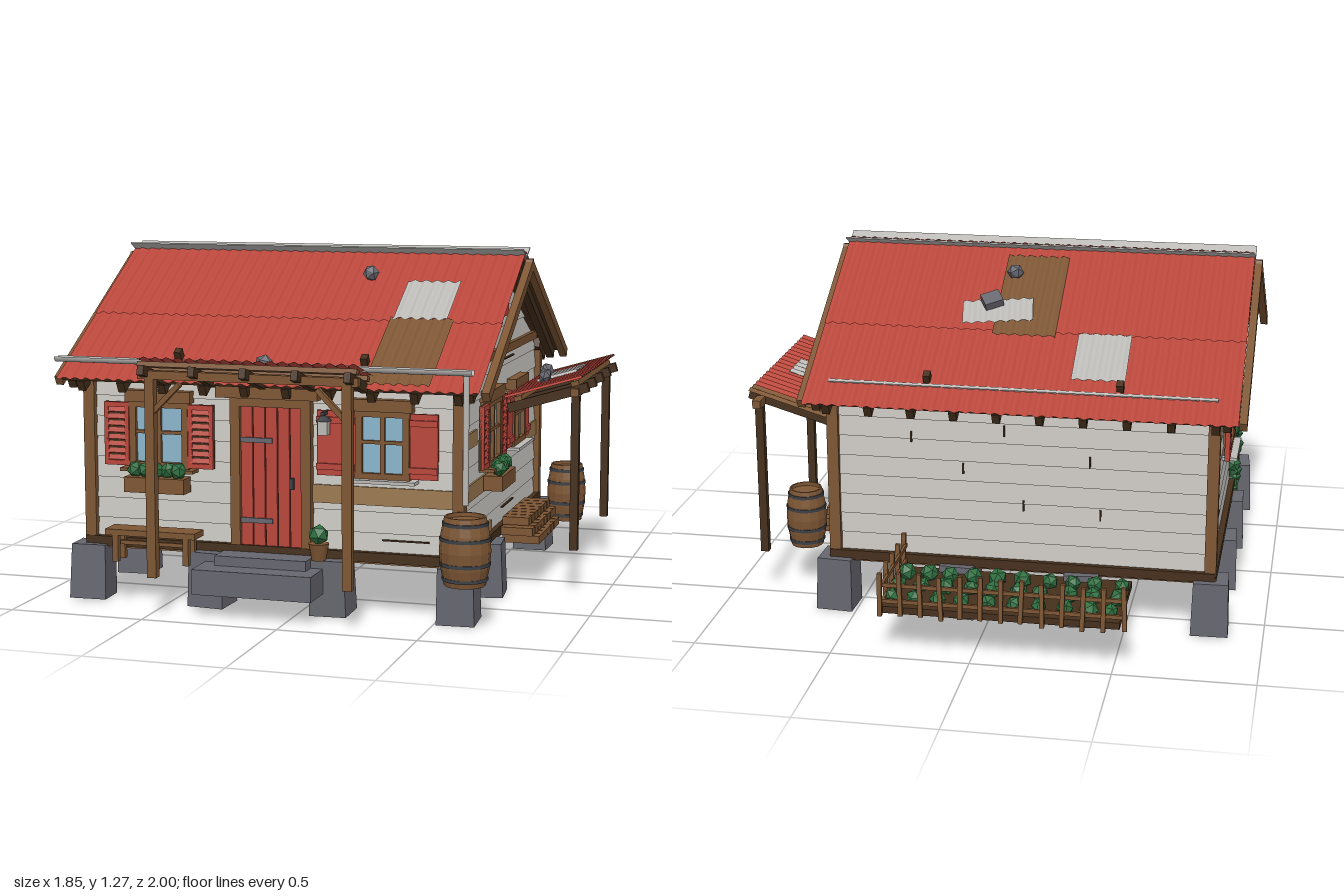
import * as THREE from 'three';

const paint = (name, color, side = THREE.FrontSide) => {
  const m = new THREE.MeshStandardMaterial({ color, side });
  m.name = name;
  return m;
};
const D = THREE.DoubleSide;
const WALL = paint('plaster white', 0xc9c6c0), RED = paint('roof red', 0xb9463b, D),
  WOOD = paint('timber brown', 0x7d5634, D), DARK = paint('dark timber', 0x46301d),
  TAN = paint('weathered tan', 0x9c7a50), GREEN = paint('leaf green', 0x2e6e3f),
  STONE = paint('stone grey', 0x66666f), METAL = paint('pale metal', 0xbcbab6, D),
  GLASS = paint('window blue', 0x8cb6cc), IRON = paint('iron grey', 0x3c4046);

let seed = 7;
const rnd = (a, b) => {
  seed = (seed * 16807) % 2147483647;
  return a + (b - a) * (seed / 2147483647);
};

function mesh(parent, name, geo, mat, p = [0, 0, 0], r = [0, 0, 0]) {
  const m = new THREE.Mesh(geo, mat);
  m.name = name;
  m.position.set(...p);
  m.rotation.set(...r);
  parent.add(m);
  return m;
}
const box = (parent, name, mat, s, p, r) => mesh(parent, name, new THREE.BoxGeometry(...s), mat, p, r);
function group(parent, name, p = [0, 0, 0], ry = 0, rx = 0) {
  const g = new THREE.Group();
  g.name = name;
  g.position.set(...p);
  g.rotation.order = 'YXZ';
  g.rotation.set(rx, ry, 0);
  parent.add(g);
  return g;
}
function flat(geo) {
  const g = geo.toNonIndexed();
  g.computeVertexNormals();
  return g;
}
function lump(parent, name, mat, r, p, squash = 0.8) {
  mesh(parent, name, new THREE.IcosahedronGeometry(r, 0), mat, p, [rnd(0, 3), rnd(0, 3), 0]).scale.y = squash;
}

// Corrugated sheet lying in local xz, ridges running along z
function sheet(parent, name, mat, w, l, p, ry = 0) {
  const g = new THREE.PlaneGeometry(w, l, Math.max(4, Math.round(w / 0.007)), 1).rotateX(-Math.PI / 2);
  const a = g.attributes.position;
  for (let i = 0; i < a.count; i++) a.setY(i, 0.0045 * Math.sin((a.getX(i) * 2 * Math.PI) / 0.042));
  g.computeVertexNormals();
  return mesh(parent, name, g, mat, p, [0, ry, 0]);
}

const ZC = 0.065, XC = -0.112, SLOPE = 0.566, ANG = Math.atan(SLOPE), LEN = 0.76 / Math.cos(ANG);

// Overlapping tilted boards; half width narrows inside the gable
function clapboards(wall, cx, half, top) {
  const step = 0.075;
  const hw = y => (top > 1 ? Math.min(half, Math.max(0.005, (1.2 - y) / SLOPE)) : half);
  for (let y = 0.22; y < top - 0.01; y += step) {
    const y1 = Math.min(top, y + step), h = y1 - y, a = hw(y), b = hw(y1);
    const s = new THREE.Shape([[-a, -h], [a, -h], [b, 0], [-b, 0]].map(q => new THREE.Vector2(...q)));
    const g = new THREE.ExtrudeGeometry(s, { depth: 0.006, bevelEnabled: false });
    mesh(wall, 'wallBoard', g, WALL, [cx, y1, -0.002], [-0.1, 0, 0]);
  }
}

function shutter(parent, x, y, w, h, slatted) {
  const g = group(parent, 'shutter', [x, y, 0.026]);
  box(g, 'shutterBack', slatted ? DARK : RED, [w, h, 0.012], [0, 0, 0]);
  if (!slatted) {
    for (const s of [-0.36, 0.36]) box(g, 'shutterBatten', RED, [w, 0.022, 0.01], [0, s * h, 0.01]);
    return;
  }
  for (const s of [-1, 1]) {
    box(g, 'shutterStile', RED, [0.016, h, 0.018], [s * (w / 2 - 0.008), 0, 0.005]);
    box(g, 'shutterRail', RED, [w, 0.018, 0.018], [0, s * (h / 2 - 0.009), 0.005]);
  }
  for (let i = 0; i < 8; i++)
    box(g, 'shutterSlat', RED, [w - 0.02, 0.017, 0.006], [0, (i - 3.5) * (h - 0.03) / 8, 0.009], [-0.4, 0, 0]);
}

function windowUnit(wall, x, y, w, h, { slatted = false, planter = false, sw = [0.095, 0.095] } = {}) {
  const g = group(wall, 'window', [x, y, 0]);
  box(g, 'glass', GLASS, [w, h, 0.008], [0, 0, 0.018]);
  for (const s of [-1, 1]) {
    box(g, 'frameSide', WOOD, [0.024, h + 0.03, 0.036], [s * w / 2, 0, 0.02]);
    box(g, 'frameRail', WOOD, [w + 0.03, 0.022, 0.036], [0, s * h / 2, 0.02]);
    const q = sw[(s + 1) / 2];
    shutter(g, s * (w / 2 + 0.014 + q / 2), 0, q, h + 0.01, slatted);
  }
  box(g, 'mullion', WOOD, [0.016, h, 0.02], [0, 0, 0.024]);
  box(g, 'glazingBar', WOOD, [w, 0.012, 0.02], [0, 0.01, 0.024]);
  box(g, 'lintel', WOOD, [w + 0.05, 0.042, 0.045], [0, h / 2 + 0.03, 0.024]);
  box(g, 'sill', planter ? WOOD : METAL, [w + 0.08, 0.012, 0.06], [0, -h / 2 - 0.016, 0.035]);
  if (planter) {
    box(g, 'flowerBox', WOOD, [w + 0.03, 0.055, 0.07], [0, -h / 2 - 0.066, 0.055]);
    for (let i = 0; i < 5; i++) lump(g, 'flowerBoxPlant', GREEN, 0.032, [(i - 2) * w / 4.8, -h / 2 - 0.014, 0.06 + rnd(-0.01, 0.01)], 0.95);
  }
}

function barrel(parent, x, z, y0, h, r) {
  const g = group(parent, 'barrel', [x, y0, z]);
  const pts = [[0, 0], [0.8, 0], [0.94, 0.25], [1, 0.5], [0.94, 0.75], [0.8, 1], [0.72, 1], [0.72, 0.94], [0, 0.94]];
  mesh(g, 'barrelStaves', flat(new THREE.LatheGeometry(pts.map(p => new THREE.Vector2(p[0] * r, p[1] * h)), 14)), WOOD);
  for (const [t, k] of [[0.1, 0.89], [0.32, 0.99], [0.68, 0.99], [0.9, 0.89]])
    mesh(g, 'barrelHoop', new THREE.CylinderGeometry(r * k, r * k, 0.012, 14, 1), IRON, [0, t * h, 0]);
}

function roofSlope(root, s) {
  const g = group(root, s > 0 ? 'frontRoof' : 'backRoof', [0, 1.247, ZC], s > 0 ? 0 : Math.PI, ANG);
  const cx = s * XC;
  box(g, 'roofDeck', DARK, [1.53, 0.014, LEN - 0.02], [cx, -0.018, LEN / 2 - 0.01]);
  const seam = 0.39 / Math.cos(ANG);
  sheet(g, 'upperRoofSheet', RED, 1.555, seam + 0.02, [cx, 0.005, seam / 2 + 0.01]);
  sheet(g, 'lowerRoofSheet', RED, 1.555, LEN - seam, [cx, -0.001, (LEN + seam) / 2]);
  for (const e of [-1, 1]) {
    box(g, 'vergeBoard', WOOD, [0.028, 0.036, LEN - 0.04], [cx + e * 0.791, -0.04, LEN / 2 - 0.015]);
    box(g, 'vergeRafter', DARK, [0.03, 0.036, LEN - 0.05], [cx + e * 0.735, -0.042, LEN / 2]);
  }
  for (let i = 0; i < 10; i++) box(g, 'rafterTail', DARK, [0.028, 0.042, 0.13], [cx + (i - 4.5) * 0.155, -0.045, LEN - 0.08]);
  // Snow rail and its brackets
  box(g, 'snowRail', METAL, [1.4, 0.006, 0.012], [cx, 0.002, 0.755]);
  for (const x of [-0.465, 0.23]) box(g, 'snowBracket', DARK, [0.025, 0.035, 0.03], [s * x, 0.014, 0.725]);
  // Patches given as x0, x1 and distances from the ridge
  const patch = (mat, x0, x1, d0, d1, y = 0.014, ry = 0) => sheet(g, 'roofPatch', mat, x1 - x0, (d1 - d0) / Math.cos(ANG),
    [s * (x0 + x1) / 2, y, (d0 + d1) / 2 / Math.cos(ANG)], ry);
  const rock = (x, d, r = 0.032) => lump(g, 'roofStone', STONE, r, [s * x, 0.026, d / Math.cos(ANG)]);
  if (s > 0) {
    patch(WOOD, 0.26, 0.49, 0.4, 0.745);
    patch(METAL, 0.27, 0.47, 0.2, 0.41, 0.02);
    rock(0.12, 0.17);
  } else {
    patch(WOOD, -0.2, 0.03, 0.065, 0.43);
    patch(METAL, -0.48, -0.285, 0.41, 0.61);
    patch(METAL, -0.105, 0.155, 0.285, 0.385, 0.026, 0.13);
    rock(-0.01, 0.155);
    box(g, 'roofBrick', STONE, [0.07, 0.03, 0.06], [-0.05, 0.044, 0.35], [0, 0.5, 0]);
  }
  // Upturned wing of the ridge cap
  box(root, 'ridgeCap', METAL, [1.56, 0.005, 0.068], [XC, 1.246, ZC + s * 0.03], [-s * ANG, 0, 0]);
}

// Lean-to canopy: local z runs outward and upward
function canopy(root, name, p, ry, tilt, w, l) {
  const g = group(root, name, p, ry, -tilt);
  sheet(g, 'canopySheet', RED, w, l, [0, 0.012, l / 2]);
  for (const z of [0.05, l - 0.03]) box(g, 'canopyBatten', WOOD, [w - 0.01, 0.018, 0.03], [0, -0.006, z]);
  for (let i = 0; i < 5; i++) box(g, 'canopyRafter', DARK, [0.024, 0.035, l + 0.01], [(i - 2) * (w - 0.06) / 4, -0.032, l / 2 + 0.005]);
  return g;
}

export function createModel() {
  const root = new THREE.Group();
  root.name = 'cottage';

  // Footing stones around the edge, with the side step in place of one
  [-0.805, -0.34, 0.115, 0.575].forEach((x, i) => [0.72, 0.285, -0.14, -0.575].forEach((z, j) => {
    if ((i % 3 && j % 3) || (i === 3 && j === 2)) return;
    mesh(root, 'footing', flat(new THREE.CylinderGeometry(0.089, 0.096, 0.2, 4)), STONE, [x, 0.1, z],
      [rnd(-0.03, 0.03), Math.PI / 4 + rnd(-0.12, 0.12), rnd(-0.03, 0.03)]);
  }));

  // Floor and wall core
  box(root, 'floor', DARK, [1.41, 0.035, 1.34], [XC, 0.21, ZC]);
  for (let i = 0; i < 16; i++) box(root, 'floorBoard', WOOD, [1.4, 0.008, 0.081], [XC, 0.19, ZC + (i - 7.5) * 0.083]);
  const pent = new THREE.Shape([[-0.645, 0.22], [0.645, 0.22], [0.645, 0.835], [0, 1.2], [-0.645, 0.835]].map(q => new THREE.Vector2(...q)));
  mesh(root, 'wallCore', new THREE.ExtrudeGeometry(pent, { depth: 1.36, bevelEnabled: false }), WALL, [-0.792, 0, ZC], [0, Math.PI / 2, 0]);
  for (const x of [-0.803, 0.577]) for (const z of [0.72, -0.585])
    box(root, 'cornerPost', WOOD, [0.042, 0.64, 0.042], [x, 0.515, z]);
  for (const z of [0.722, -0.588]) {
    box(root, 'wallPlate', WOOD, [1.4, 0.03, 0.03], [XC, 0.82, z]);
    box(root, 'sillBeam', DARK, [1.42, 0.035, 0.04], [XC, 0.212, z + Math.sign(z) * 0.002]);
  }
  for (const x of [-0.805, 0.579]) {
    box(root, 'tieBeam', WOOD, [0.03, 0.032, 1.16], [x, 0.885, ZC]);
    box(root, 'sideSillBeam', DARK, [0.04, 0.035, 1.34], [x, 0.212, ZC]);
  }
  const front = group(root, 'frontWall', [0, 0, 0.71]), back = group(root, 'backWall', [0, 0, -0.58], Math.PI),
    right = group(root, 'leftGable', [0.568, 0, 0], Math.PI / 2), left = group(root, 'rightGable', [-0.792, 0, 0], -Math.PI / 2);
  clapboards(front, XC, 0.67, 0.83);
  clapboards(back, -XC, 0.67, 0.83);
  clapboards(right, -ZC, 0.64, 1.195);
  clapboards(left, ZC, 0.64, 1.195);
  const strip = (wall, x0, x1, y0, y1, mat = TAN) => box(wall, 'wallRepair', mat, [x1 - x0, y1 - y0, 0.008], [(x0 + x1) / 2, (y0 + y1) / 2, 0.013]);
  strip(front, 0.02, 0.555, 0.395, 0.46);
  strip(right, -0.7, -0.49, 0.59, 0.645);
  strip(right, -0.7, 0.02, 0.4, 0.46);
  strip(right, -0.7, -0.24, 0.23, 0.27);
  strip(right, 0.34, 0.56, 0.47, 0.53);
  strip(front, 0.3, 0.47, 0.27, 0.275, DARK);
  strip(right, -0.06, 0.14, 0.28, 0.285, DARK);
  strip(right, -0.04, 0.12, 0.843, 0.848, DARK);
  strip(left, -0.45, -0.28, 0.34, 0.355, IRON);
  for (const [x, y] of [[-0.29, 0.66], [-0.1, 0.55], [0.05, 0.7], [0.12, 0.42], [0.36, 0.6], [0.4, 0.4]])
    strip(back, x, x + 0.006, y, y + 0.04, DARK);
  for (const [wall, x] of [[right, -ZC], [left, ZC]]) box(wall, 'gableVent', RED, [0.115, 0.09, 0.02], [x, 1.055, 0.012]);

  // Windows
  windowUnit(front, -0.53, 0.612, 0.2, 0.22, { slatted: true, planter: true });
  windowUnit(front, 0.305, 0.612, 0.17, 0.22, { sw: [0.14, 0.1] });
  windowUnit(right, -0.29, 0.61, 0.19, 0.22, { slatted: true, planter: true, sw: [0.085, 0.085] });
  windowUnit(right, 0.145, 0.61, 0.19, 0.2, { sw: [0.09, 0.09] });
  windowUnit(left, 0.05, 0.6, 0.17, 0.21, { slatted: true, sw: [0.085, 0.085] });

  // Door
  const door = group(front, 'door', [-0.105, 0, 0]);
  for (let i = 0; i < 5; i++) box(door, 'doorPlank', RED, [0.042, 0.5, 0.025], [(i - 2) * 0.046, 0.48, 0.015]);
  box(door, 'doorGap', DARK, [0.23, 0.5, 0.012], [0, 0.48, 0.015]);
  for (const s of [-1, 1]) box(door, 'doorJamb', WOOD, [0.036, 0.54, 0.045], [s * 0.132, 0.5, 0.02]);
  box(door, 'doorHead', WOOD, [0.3, 0.03, 0.045], [0, 0.745, 0.02]);
  box(door, 'doorLintel', WOOD, [0.38, 0.055, 0.06], [-0.01, 0.788, 0.025]);
  for (const y of [0.32, 0.61]) box(door, 'strapHinge', STONE, [0.12, 0.018, 0.008], [-0.055, y, 0.03]);
  box(door, 'doorHandle', IRON, [0.012, 0.04, 0.02], [0.08, 0.46, 0.035]);

  // Lantern
  box(front, 'lanternArm', IRON, [0.012, 0.012, 0.07], [0.1, 0.72, 0.04]);
  box(front, 'lanternCage', METAL, [0.035, 0.05, 0.035], [0.1, 0.67, 0.06]);
  mesh(front, 'lanternCap', new THREE.ConeGeometry(0.03, 0.025, 6), IRON, [0.1, 0.707, 0.06]);

  // Roof, gutter and downpipe
  roofSlope(root, 1);
  roofSlope(root, -1);
  mesh(root, 'gutter', new THREE.CylinderGeometry(0.02, 0.02, 1.53, 8, 1, true, -Math.PI / 2, Math.PI), METAL, [-0.115, 0.898, 0.842], [Math.PI / 2, 0, Math.PI / 2]);
  mesh(root, 'downpipe', new THREE.CylinderGeometry(0.011, 0.011, 0.45, 8), METAL, [0.625, 0.66, 0.835]);

  // Front canopy with posts and braces
  const fc = canopy(root, 'frontCanopy', [-0.117, 0.847, 0.78], 0, 0.29, 0.805, 0.212);
  sheet(fc, 'canopyPatch', METAL, 0.2, 0.135, [-0.2, 0.02, 0.065]);
  lump(fc, 'canopyStone', STONE, 0.034, [0.012, 0.035, 0.04]);
  for (const [x, s] of [[-0.473, 1], [0.243, -1]]) {
    box(root, 'porchPost', WOOD, [0.034, 0.71, 0.034], [x, 0.495, 0.95]);
    box(root, 'porchBrace', WOOD, [0.018, 0.15, 0.022], [x + s * 0.055, 0.775, 0.95], [0, 0, -s * 0.78]);
  }
  box(root, 'porchBeam', WOOD, [0.8, 0.03, 0.03], [-0.117, 0.858, 0.95]);

  // Side canopy with posts
  const sc = canopy(root, 'sideCanopy', [0.62, 0.712, -0.14], Math.PI / 2, 0.29, 0.7, 0.3);
  sheet(sc, 'canopyEndSheet', WOOD, 0.06, 0.3, [0.376, 0.012, 0.15]);
  sheet(sc, 'canopyPatch', METAL, 0.19, 0.16, [0.035, 0.02, 0.15]);
  lump(sc, 'canopyStone', STONE, 0.036, [0.1, 0.035, 0.085]);
  lump(sc, 'canopyStone', STONE, 0.032, [-0.14, 0.035, 0.125]);
  for (const z of [0.175, -0.495]) box(root, 'sidePost', DARK, [0.03, 0.58, 0.028], [0.88, 0.45, z]);
  box(root, 'sideBeam', WOOD, [0.03, 0.03, 0.75], [0.88, 0.75, -0.165]);

  // Front steps, bench, pot
  box(root, 'lowerStep', STONE, [0.44, 0.09, 0.2], [-0.12, 0.125, 0.825]);
  box(root, 'upperStep', STONE, [0.34, 0.12, 0.11], [-0.115, 0.145, 0.785]);
  box(root, 'benchSeat', WOOD, [0.345, 0.022, 0.09], [-0.53, 0.268, 0.8]);
  for (const x of [-0.665, -0.395]) for (const z of [0.77, 0.83]) box(root, 'benchLeg', WOOD, [0.022, 0.1, 0.022], [x, 0.21, z]);
  box(root, 'benchRail', WOOD, [0.27, 0.014, 0.014], [-0.53, 0.225, 0.8]);
  mesh(root, 'plantPot', new THREE.CylinderGeometry(0.038, 0.027, 0.06, 8), WOOD, [0.09, 0.235, 0.8]);
  lump(root, 'potPlant', GREEN, 0.038, [0.09, 0.295, 0.8], 1);

  // Stacked block step beside the side window
  for (let r = 0; r < 3; r++) for (let i = 0; i < 7 + (r % 2); i++)
    box(root, 'sideStepBlock', WOOD, [0.1 + (2 - r) * 0.02, 0.03, 0.052], [0.65 + (2 - r) * 0.01, 0.177 + r * 0.034, 0.1 - i * 0.058 + (r % 2) * 0.029]);

  barrel(root, 0.62, 0.815, 0.155, 0.24, 0.09);
  barrel(root, 0.745, -0.395, 0.16, 0.225, 0.076);

  // Ivy climbing the far gable
  for (let i = 0; i < 26; i++)
    lump(root, 'ivyLeaf', GREEN, rnd(0.025, 0.036), [-0.816 + rnd(-0.006, 0.006), 0.19 + i * 0.0225, 0.42 + 0.025 * Math.sin(i * 0.9) + rnd(-0.02, 0.02)], 1);

  // Garden bed, plants and picket fence
  box(root, 'gardenBed', DARK, [0.845, 0.025, 0.37], [-0.1, 0.165, -0.785]);
  for (let i = 0; i < 10; i++) for (const z of [-0.925, -0.81, -0.7])
    lump(root, 'gardenPlant', GREEN, rnd(0.028, 0.036), [-0.49 + i * 0.087 + rnd(-0.01, 0.01), 0.2, z], 1);
  const picket = (x, z) => box(root, 'picket', WOOD, [0.016, 0.16, 0.014], [x, 0.235 + rnd(-0.008, 0.008), z], [0, 0, rnd(-0.05, 0.05)]);
  for (let i = 0; i < 13; i++) picket(-0.54 + i * 0.0715, -0.99);
  for (let i = 0; i < 4; i++) picket(0.318, -0.895 + i * 0.093);
  for (const y of [0.205, 0.265]) {
    box(root, 'fenceRail', WOOD, [0.875, 0.014, 0.01], [-0.112, y, -0.982]);
    box(root, 'fenceSideRail', WOOD, [0.01, 0.014, 0.38], [0.31, y, -0.795]);
  }
  return root;
}
